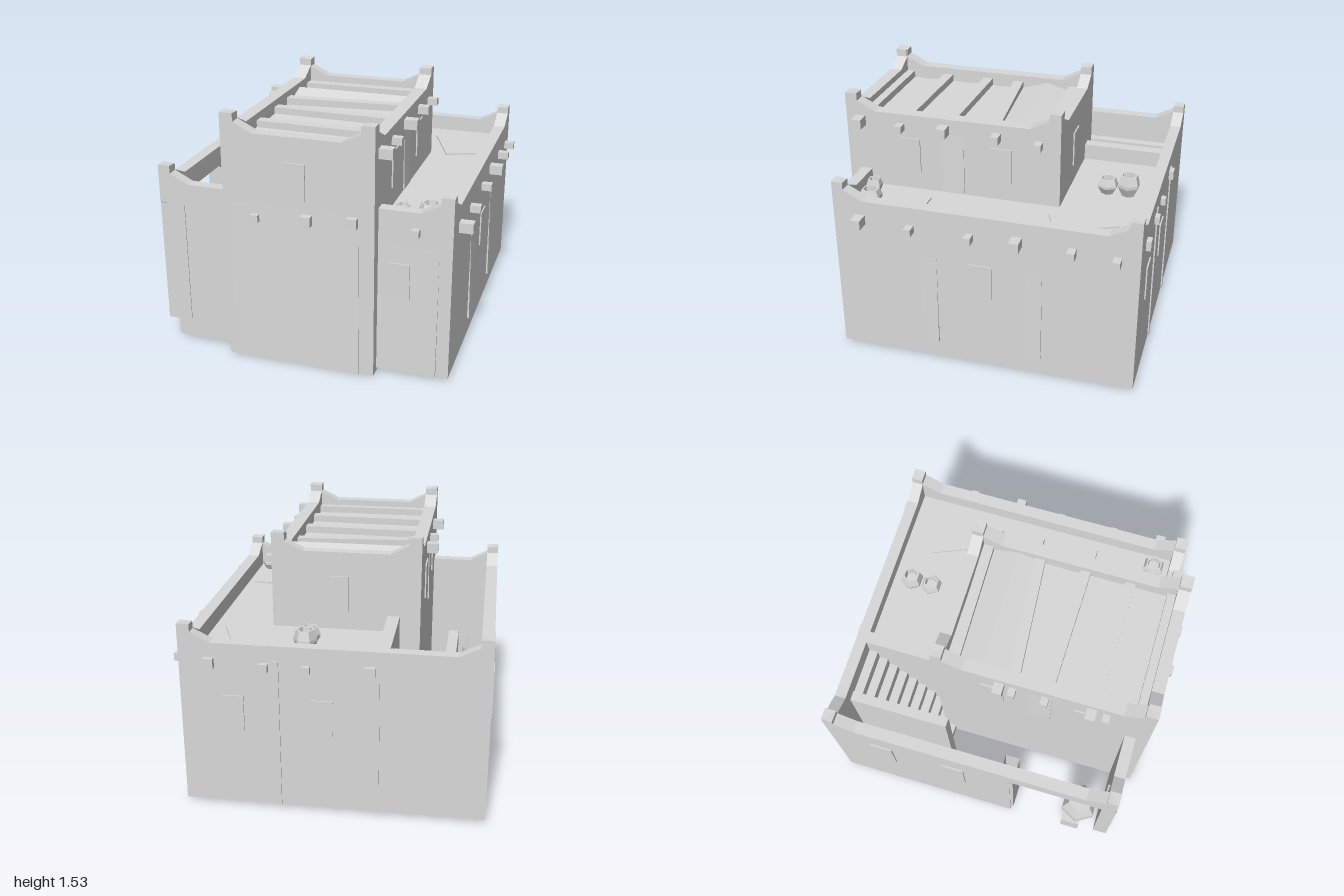
import * as THREE from 'three';

export function createModel() {
  const house = new THREE.Group();
  house.name = 'house';
  // Walls and roofs are open skins, so both sides show
  const clay = new THREE.MeshStandardMaterial({ color: 0xd9d9d9, side: THREE.DoubleSide });
  clay.name = 'clay';
  clay.flatShading = true;

  const add = (geo, name) => {
    const m = new THREE.Mesh(geo, clay);
    m.name = name;
    house.add(m);
    return m;
  };
  // Box given by its limits on each axis
  const box = (name, x0, x1, y0, y1, z0, z1) => {
    const m = add(new THREE.BoxGeometry(x1 - x0, y1 - y0, z1 - z0), name);
    m.position.set((x0 + x1) / 2, (y0 + y1) / 2, (z0 + z1) / 2);
    return m;
  };
  // Square beam end centred on two axes
  const beamZ = (name, x, y, s, z0, z1) => box(name, x - s / 2, x + s / 2, y - s / 2, y + s / 2, z0, z1);
  const beamX = (name, x0, x1, y, z, s) => box(name, x0, x1, y - s / 2, y + s / 2, z - s / 2, z + s / 2);

  // Parapet outline along a wall, with raised horns at the chosen ends
  const toShape = (pts) => new THREE.Shape(pts.map(([u, v]) => new THREE.Vector2(u, v)));
  const outline = (a, b, y0, top, hornA, hornB, bottom = [[a, y0], [b, y0]]) => {
    const p = [...bottom];
    if (hornB) p.push([b, top + 0.105], [b - 0.07, top + 0.1], [b - 0.07, top + 0.06], [b - 0.19, top]);
    else p.push([b, top]);
    if (hornA) p.push([a + 0.19, top], [a + 0.07, top + 0.06], [a + 0.07, top + 0.1], [a, top + 0.105]);
    else p.push([a, top]);
    return toShape(p);
  };
  const extrude = (shape, depth) => new THREE.ExtrudeGeometry(shape, { depth, bevelEnabled: false });
  // Walls are open underneath: leave out the triangles lying on the ground
  const openBase = (geo) => {
    const p = geo.attributes.position;
    const kept = [];
    for (let i = 0; i < p.count; i += 3) {
      if (Math.max(p.getY(i), p.getY(i + 1), p.getY(i + 2)) < 0.03) continue;
      for (let k = i; k < i + 3; k++) kept.push(p.getX(k), p.getY(k), p.getZ(k));
    }
    const open = new THREE.BufferGeometry();
    open.setAttribute('position', new THREE.Float32BufferAttribute(kept, 3));
    open.computeVertexNormals();
    return open;
  };
  const wallX = (name, shape, z0, z1) => add(openBase(extrude(shape, z1 - z0).translate(0, 0, z0)), name);
  const wallZ = (name, shape, x0, x1) =>
    add(openBase(extrude(shape, x1 - x0).rotateY(-Math.PI / 2).translate(x1, 0, 0)), name);

  // Low outer walls; the left one has a wide doorway
  wallX('backWall', outline(-0.93, 0.86, 0.02, 1.04, true, true), -0.97, -0.9);
  wallZ('rightWall', outline(-0.97, 0.88, 0.02, 1.04, true, true), 0.785, 0.86);
  wallZ('leftWall', outline(-0.97, 0.88, 0.02, 1.04, true, true,
    [[-0.97, 0.02], [0.21, 0.02], [0.21, 0.91], [0.88, 0.91]]), -0.93, -0.855);
  wallX('frontRightWall', outline(0.4, 0.86, 0.02, 1.04, false, true), 0.81, 0.88);
  wallX('frontLeftWall', outline(-0.93, -0.46, 0.02, 1.04, true, false,
    [[-0.93, 0.91], [-0.86, 0.91], [-0.86, 0.02], [-0.46, 0.02]]), 0.81, 0.88);

  // Door posts: hollow square tubes
  for (const z of [0.185, 0.84]) {
    const post = new THREE.CylinderGeometry(Math.SQRT1_2, Math.SQRT1_2, 0.78, 4, 1, true);
    post.rotateY(Math.PI / 4).scale(0.155, 1, 0.09);
    add(post, 'doorPost').position.set(-0.8475, 0.52, z);
  }

  // Tall central block
  wallX('towerFront', outline(-0.48, 0.43, 0, 1.43, true, true), 0.88, 0.955);
  wallX('towerBack', outline(-0.48, 0.43, 0, 1.43, true, true), -0.4, -0.33);
  wallZ('towerLeft', outline(-0.4, 0.955, 0, 1.43, true, true), -0.48, -0.4);
  wallZ('towerRight', outline(-0.4, 0.955, 0, 1.43, true, true), 0.35, 0.43);

  // Wedge-shaped thickenings that fade into the walls as they rise
  wallZ('towerFrontBatter', toShape([[0.95, 0], [0.966, 0], [0.956, 1], [0.95, 1]]), -0.44, 0.34);
  wallZ('frontRightBatter', toShape([[0.875, 0.02], [0.894, 0.02], [0.881, 0.82], [0.875, 0.82]]), 0.43, 0.785);
  for (const [z0, z1] of [[0.24, 0.34], [-0.405, -0.31]]) {
    wallX('rightPilaster', toShape([[0.855, 0.13], [0.872, 0.13], [0.861, 0.72], [0.855, 0.72]]), z0, z1);
  }
  for (const [x, s] of [[0.43, 1], [-0.48, -1]]) {
    wallX('towerPilaster', toShape([[x - s * 0.005, 0.95], [x + s * 0.01, 0.95], [x + s * 0.001, 1.33],
      [x - s * 0.005, 1.33]]), 0.2, 0.34);
  }

  // Roofs, single skins facing up
  const roof = (name, x0, x1, z0, z1, y, rows) =>
    add(new THREE.PlaneGeometry(x1 - x0, z1 - z0, 1, rows).rotateX(-Math.PI / 2)
      .translate((x0 + x1) / 2, y, (z0 + z1) / 2), name);
  roof('lowRoofBack', -0.28, 0.785, -0.9, -0.4, 0.94, 1);
  roof('lowRoofRight', 0.43, 0.785, -0.4, 0.81, 0.94, 1);
  // Tower roof: a ridge near the back, gentle sags between the other beams
  const pos = roof('towerRoof', -0.4, 0.35, -0.33, 0.88, 1.35, 22).geometry.attributes.position;
  for (let i = 0; i < pos.count; i++) {
    const z = pos.getZ(i);
    const ridge = 0.05 * Math.max(0, 1 - Math.abs(z + 0.11) / 0.165);
    const dip = z > 0.06 ? 0.008 * Math.abs(Math.sin((z - 0.06) * 11.6)) : 0;
    pos.setY(i, pos.getY(i) + ridge - dip);
  }
  for (const [z, turn] of [[-0.29, 0.02], [0.06, 0.08], [0.31, -0.02], [0.59, -0.02], [0.86, 0]]) {
    box('roofBeam', -0.42, 0.37, 1.33, 1.39, z - 0.032, z + 0.032).rotation.y = turn;
  }

  // Stairway rising to the back, with its side walls
  const flight = [[-0.9, 0.02], [-0.33, 0.02]];
  for (let i = 0; i < 10; i++) {
    const z = -0.33 - i * 0.057;
    flight.push([z, (i + 1) * 0.09], [z - 0.057, (i + 1) * 0.09]);
  }
  wallZ('stairs', toShape(flight), -0.65, -0.355);
  wallZ('stairWall', outline(-0.91, -0.27, 0.02, 0.92, false, false), -0.71, -0.65);
  wallZ('stairParapet', outline(-0.91, -0.39, 0.02, 1.04, false, false), -0.355, -0.28);

  // Beam ends sticking out: position along the wall, height, size
  for (const [z, y, s] of [[0.71, 0.92, 0.06], [0.395, 0.905, 0.045], [0.03, 0.905, 0.045],
    [-0.255, 0.92, 0.06], [-0.58, 0.905, 0.048], [-0.84, 0.89, 0.045]]) {
    beamX('rightBeamEnd', 0.82, 0.867 + s * 1.25, y, z, s);
  }
  for (const [z, y, s] of [[0.86, 1.365, 0.06], [0.6, 1.35, 0.045], [0.32, 1.365, 0.06],
    [-0.01, 1.355, 0.05], [-0.27, 1.335, 0.045]]) {
    beamX('towerRightBeamEnd', 0.39, 0.435 + s * 1.25, y, z, s);
  }
  for (const [z, y, s] of [[0.67, 1.345, 0.045], [0.58, 1.36, 0.06], [0.3, 1.345, 0.045],
    [0.1, 1.34, 0.045], [0.02, 1.36, 0.06]]) {
    beamX('towerLeftBeamEnd', -0.48 - s * 1.15, -0.44, y, z, s);
  }
  for (const [x, y, s, z1] of [[-0.28, 0.925, 0.045, 0.985], [0.035, 0.95, 0.06, 1],
    [0.305, 0.97, 0.06, 0.99], [0.65, 0.925, 0.045, 0.92]]) {
    beamZ('frontBeamEnd', x, y, s, z1 - 0.1, z1);
  }
  for (const [x, y, s] of [[-0.25, 0.92, 0.06], [0.115, 0.91, 0.045], [0.36, 0.91, 0.05], [0.68, 0.92, 0.06]]) {
    beamZ('backBeamEnd', x, y, s, -1, -0.93);
  }

  // Shallow window panels and wall strips, as thin plates on the outer faces
  const t = 0.009;
  const frontPlate = (n, x0, x1, y0, y1, z) => {
    const c = z + Math.sign(z) * t * 0.45;
    box(n, x0, x1, y0, y1, c - t / 2, c + t / 2);
  };
  const sidePlate = (n, z0, z1, y0, y1, x) => {
    const c = x + Math.sign(x) * t * 0.45;
    box(n, c - t / 2, c + t / 2, y0, y1, z0, z1);
  };
  frontPlate('window', -0.105, 0.025, 1.06, 1.28, 0.955);
  frontPlate('window', 0.49, 0.62, 0.5, 0.72, 0.886);
  frontPlate('window', -0.04, 0.09, 1.06, 1.28, -0.4);
  for (const x of [0.03, 0.55]) frontPlate('window', x - 0.065, x + 0.065, 0.5, 0.72, -0.97);
  for (const x of [0.29, -0.29]) frontPlate('wallStrip', x - 0.015, x + 0.015, 0.02, 0.95, -0.97);
  sidePlate('window', -0.1, 0.04, 0.5, 0.72, 0.86);
  for (const x of [0.43, -0.48]) {
    sidePlate('window', 0.48, 0.61, 1.06, 1.28, x);
    sidePlate('window', -0.1, 0.04, 1.06, 1.28, x);
  }
  for (const z of [-0.63, -0.16]) sidePlate('window', z - 0.07, z + 0.07, 0.55, 0.85, -0.93);

  // Hatch boards lying on the low roof
  box('roofHatch', 0.54, 0.74, 0.938, 0.95, 0.38, 0.78);
  box('looseBoard', 0.46, 0.66, 0.938, 0.95, -0.775, -0.385).rotation.y = 0.4;

  // Six-sided clay pots turned from a profile
  const lathe = (name, prof, x, y, z) =>
    add(new THREE.LatheGeometry(prof.map(([a, b]) => new THREE.Vector2(a, b)), 6, Math.PI / 6), name)
      .position.set(x, y, z);
  const potProfile = [[0, 0], [0.6, 0], [1, 0.45], [1, 0.6], [0.78, 1], [0.62, 1], [0.55, 0.6], [0, 0.6]];
  for (const [x, z, r, h] of [[0.155, -0.77, 0.07, 0.135], [0.155, -0.64, 0.065, 0.1],
    [0.54, 0.75, 0.05, 0.09], [0.69, 0.71, 0.07, 0.1]]) {
    lathe('roofPot', potProfile.map(([a, b]) => [a * r, b * h]), x, 0.94, z);
  }

  // Large jar on its block in the doorway
  box('jarBlock', -0.945, -0.8, 0.1, 0.27, 0.57, 0.69);
  lathe('doorJar', [[0, 0.27], [0.08, 0.27], [0.12, 0.37], [0.12, 0.43], [0.08, 0.54], [0, 0.54]], -0.83, 0, 0.66);

  return house;
}
